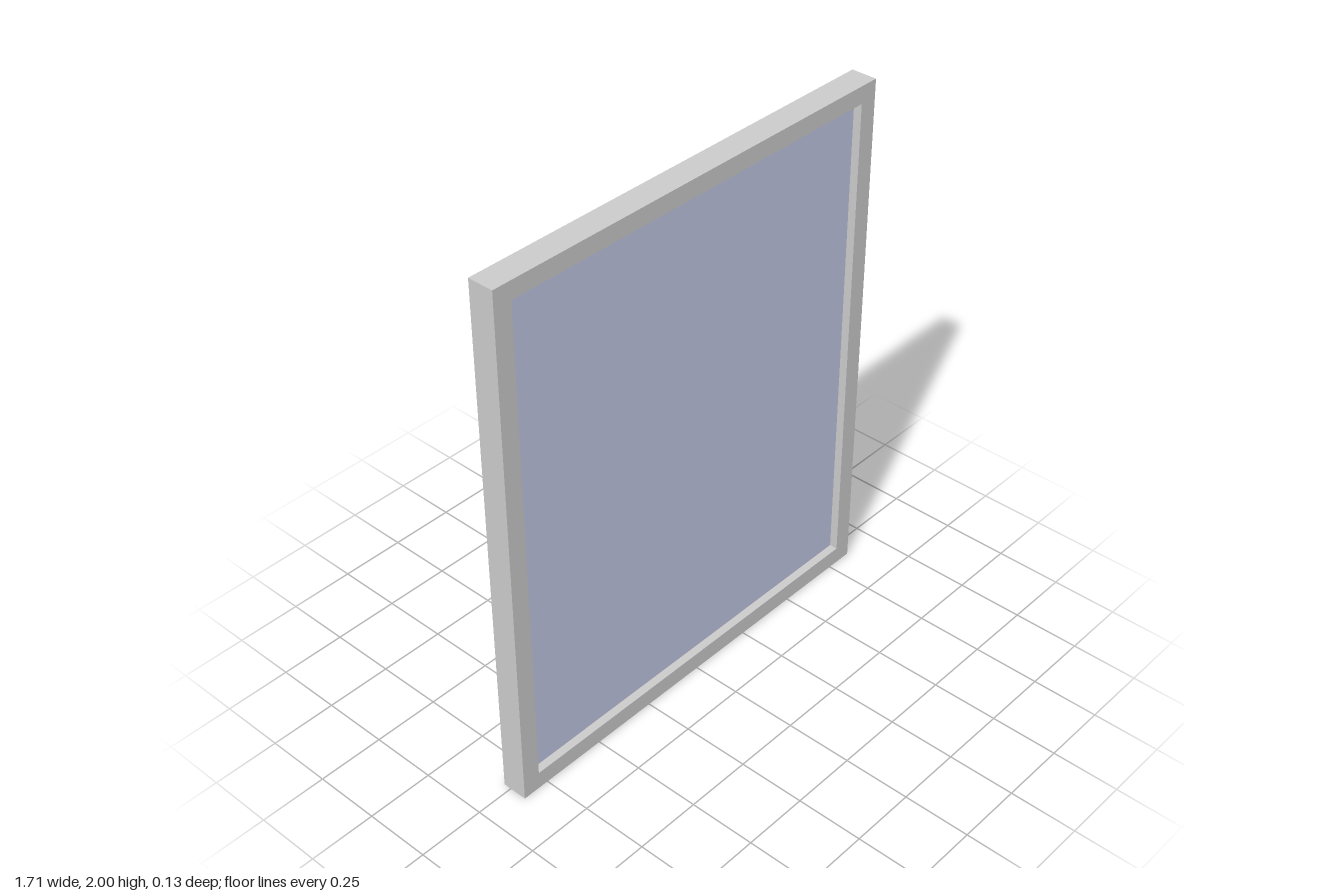
import * as THREE from 'three';

const grey = new THREE.MeshStandardMaterial({ color: 0xcccccc });
const glassBlue = new THREE.MeshStandardMaterial({ color: 0xc2c7e4 });

function add(parent, name, geometry, material = grey) {
  const mesh = new THREE.Mesh(geometry, material);
  mesh.name = name;
  parent.add(mesh);
  return mesh;
}

// Rectangle outline, used for the frame and its opening
function rectangle(PathType, x, y0, y1) {
  const p = new PathType();
  p.moveTo(-x, y0).lineTo(x, y0).lineTo(x, y1).lineTo(-x, y1).closePath();
  return p;
}

// Upright bar with round ends whose radii may differ
function roundedBar(bottomY, topY, bottomR, topR) {
  const s = new THREE.Shape();
  s.absarc(0, topY - topR, topR, 0, Math.PI, false);
  s.absarc(0, bottomY + bottomR, bottomR, Math.PI, Math.PI * 2, false);
  s.closePath();
  return s;
}

// Extrude a shape away from the back, with softened rims, between two z values
function slab(shape, zFar, zNear, bevel) {
  const g = new THREE.ExtrudeGeometry(shape, {
    depth: zNear - zFar - 2 * bevel, curveSegments: 20,
    bevelEnabled: true, bevelSize: bevel, bevelOffset: -bevel,
    bevelThickness: bevel, bevelSegments: 2,
  });
  return g.translate(0, 0, zFar + bevel);
}

export function createModel() {
  const model = new THREE.Group();
  model.name = 'window';

  // Frame with its opening
  const outline = rectangle(THREE.Shape, 0.856, 0, 2);
  outline.holes.push(rectangle(THREE.Path, 0.787, 0.067, 1.935));
  add(model, 'frame', new THREE.ExtrudeGeometry(outline, { depth: 0.097, bevelEnabled: false })
    .translate(0, 0, -0.03));

  // Pane set back from both faces of the frame
  add(model, 'glassPane', new THREE.BoxGeometry(1.574, 1.868, 0.036), glassBlue)
    .position.set(0, 1.001, 0.018);

  // Handle on the back of the left stile
  const handle = new THREE.Group();
  handle.name = 'handle';
  handle.position.x = 0.815;
  model.add(handle);

  add(handle, 'handlePlate', slab(roundedBar(1.027, 1.143, 0.03, 0.03), -0.042, -0.029, 0.004));

  // Turned spindle with a rounded cap
  const profile = [[0.024, 0.04], [0.024, 0.046], [0.019, 0.049], [0.019, 0.061], [0.016, 0.066], [0, 0.067]];
  const spindle = new THREE.LatheGeometry(profile.map(([r, h]) => new THREE.Vector2(r, h)), 32);
  add(handle, 'handleSpindle', spindle.rotateX(-Math.PI / 2)).position.y = 1.086;

  // Flat lever hanging from the spindle, slightly wider at its grip
  add(handle, 'handleLever', slab(roundedBar(0.895, 1.104, 0.018, 0.015), -0.064, -0.057, 0.002));

  return model;
}
